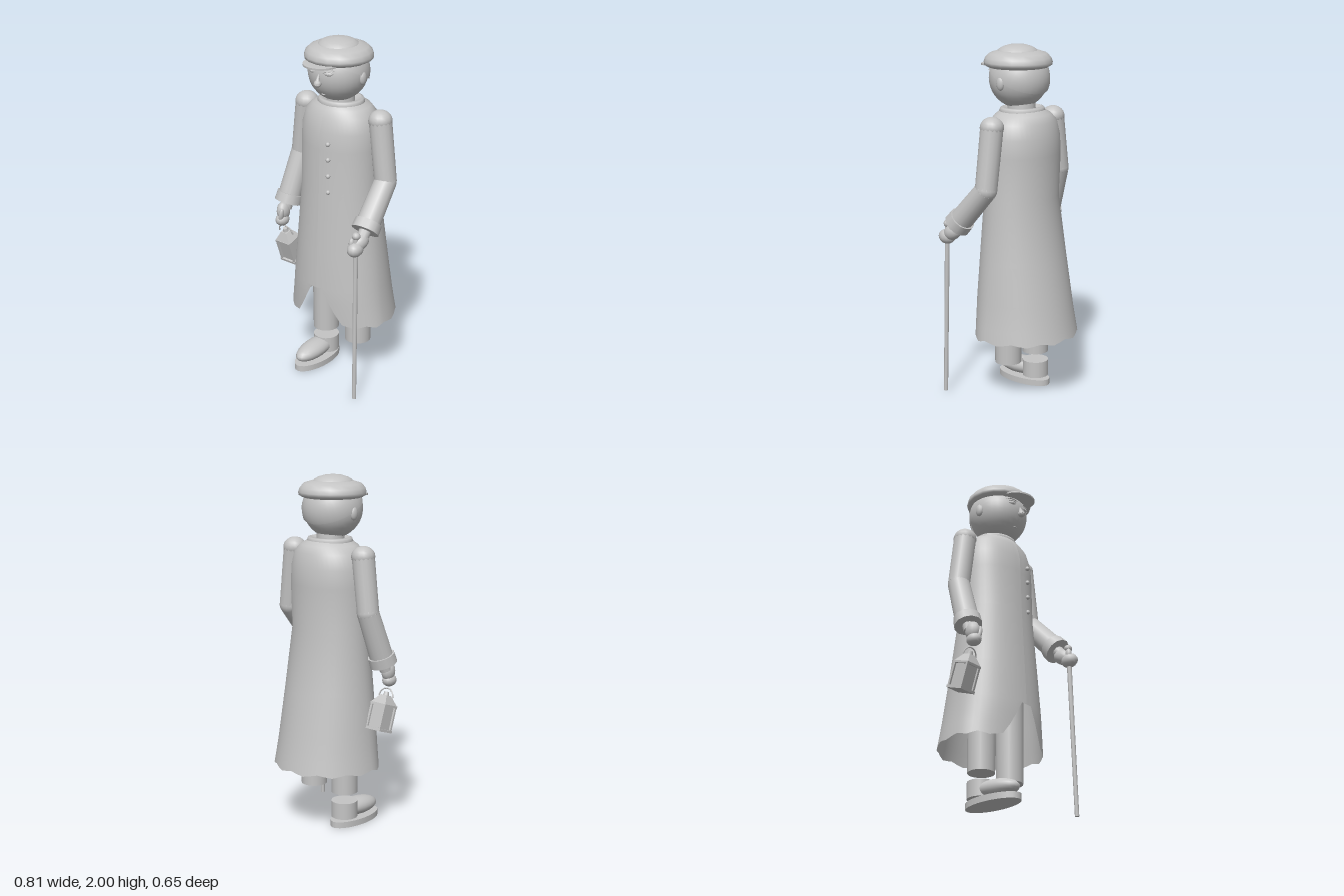
import * as THREE from 'three';

const grey = new THREE.MeshStandardMaterial({ color: 0xc4c4c4, side: THREE.DoubleSide });
const V = (x, y, z) => new THREE.Vector3(x, y, z);

function add(parent, name, geometry, pos = [0, 0, 0], scale = [1, 1, 1], rot = [0, 0, 0]) {
  const mesh = new THREE.Mesh(geometry, grey);
  mesh.name = name;
  mesh.position.set(...pos);
  mesh.scale.set(...scale);
  mesh.rotation.set(...rot);
  parent.add(mesh);
  return mesh;
}

const ball = (w = 16, h = 12) => new THREE.SphereGeometry(1, w, h);
const lathe = (pts, sides = 20) =>
  new THREE.LatheGeometry(pts.map(([r, y]) => new THREE.Vector2(r, y)), sides);

// Tapered round rod from a to b
function rod(parent, name, a, b, ra, rb, sides = 16) {
  const dir = b.clone().sub(a);
  const mesh = add(parent, name, new THREE.CylinderGeometry(rb, ra, dir.length(), sides));
  mesh.position.copy(a).add(b).multiplyScalar(0.5);
  mesh.quaternion.setFromUnitVectors(V(0, 1, 0), dir.normalize());
  return mesh;
}

// Coat cross-sections: height, half width, front z, back z
const coatRows = [
  [1.645, 0.12, 0.105, -0.12], [1.62, 0.17, 0.13, -0.16], [1.58, 0.21, 0.155, -0.185],
  [1.5, 0.232, 0.178, -0.2], [1.4, 0.235, 0.183, -0.207], [1.15, 0.235, 0.19, -0.19],
  [0.8, 0.27, 0.208, -0.245], [0.58, 0.292, 0.218, -0.283], [0.5, 0.3, 0.217, -0.297],
  [0.43, 0.31, 0.214, -0.31], [0.355, 0.32, 0.21, -0.325],
];

function coatRing(y) {
  let i = 0;
  while (i < coatRows.length - 2 && y < coatRows[i + 1][0]) i++;
  const a = coatRows[i], b = coatRows[i + 1];
  const t = (a[0] - y) / (a[0] - b[0]);
  return a.map((v, k) => v + (b[k] - v) * t);
}

// Long coat with an uneven hem and a notch cut in the front
function coatGeometry() {
  const sides = 48, pos = [], index = [];
  coatRows.forEach(([rowY], r) => {
    for (let i = 0; i <= sides; i++) {
      const step = Math.min(i, sides - i);
      const hem = step <= 1 ? 0.575
        : step < 4 ? 0.575 - (step - 1) * 0.072
          : 0.363 + 0.008 * Math.cos(i * Math.PI / 2);
      const y = Math.max(rowY, hem);
      const [, w, front, back] = coatRing(y);
      const a = i / sides * Math.PI * 2, c = Math.cos(a);
      pos.push(w * Math.sin(a), y, c > 0 ? front * c : -back * c);
      if (r && i < sides) {
        const p = r * (sides + 1) + i, q = p - sides - 1;
        index.push(q, p, p + 1, q, p + 1, q + 1);
      }
    }
  });
  const g = new THREE.BufferGeometry();
  g.setAttribute('position', new THREE.Float32BufferAttribute(pos, 3));
  g.setIndex(index);
  g.computeVertexNormals();
  return g;
}

function buildHead() {
  const head = new THREE.Group();
  head.name = 'head';
  add(head, 'face', ball(28, 20), [0, 1.815, 0.02], [0.166, 0.166, 0.166]);
  add(head, 'hair', new THREE.SphereGeometry(0.172, 28, 12, 0, Math.PI * 2, 0, Math.PI / 2),
    [0, 1.812, 0.018], [1, 1, 1], [-0.44, 0, 0]);
  add(head, 'neck', new THREE.CylinderGeometry(0.075, 0.085, 0.14, 16), [0, 1.63, 0]);

  // Face details
  add(head, 'noseBridge', new THREE.ConeGeometry(0.02, 0.07, 10), [0, 1.805, 0.188], [1, 1, 1], [-0.25, 0, 0]);
  add(head, 'noseTip', ball(10, 8), [0, 1.778, 0.194], [0.021, 0.02, 0.021]);
  add(head, 'mouth', ball(10, 6), [0, 1.707, 0.146], [0.014, 0.004, 0.006]);
  for (const s of [-1, 1]) {
    add(head, 'ear', ball(12, 10), [s * 0.163, 1.798, 0.012], [0.017, 0.038, 0.025]);
    add(head, 'eye', ball(12, 8), [s * 0.056, 1.836, 0.172], [0.024, 0.011, 0.008], [0, s * 0.33, 0]);
    add(head, 'pupil', ball(8, 6), [s * 0.055, 1.836, 0.179], [0.008, 0.008, 0.005]);
    add(head, 'eyelid', new THREE.TorusGeometry(0.028, 0.004, 6, 14, Math.PI),
      [s * 0.056, 1.837, 0.172], [1, 0.5, 1], [0, s * 0.33, 0]);
    add(head, 'eyebrow', new THREE.TorusGeometry(0.032, 0.005, 6, 12, Math.PI),
      [s * 0.056, 1.853, 0.17], [1, 0.35, 1], [0, s * 0.33, 0]);
  }

  // Flat cap: puffy band, domed crown and visor
  add(head, 'capBody', lathe([[0, 1.878], [0.165, 1.876], [0.187, 1.888], [0.19, 1.905], [0.182, 1.928],
    [0.16, 1.951], [0.12, 1.964], [0.1, 1.967]], 18), [0.005, 0, 0.02]);
  add(head, 'capCrown', lathe([[0.113, 1.96], [0.106, 1.972], [0.085, 1.985], [0.05, 1.996], [0, 2]], 18),
    [0.005, 0, 0.025]);
  add(head, 'visor', new THREE.CylinderGeometry(1, 1, 0.01, 24), [0.003, 1.884, 0.17], [0.102, 1, 0.09], [0.06, 0, 0]);
  return head;
}

// Sleeve with a shoulder ball, a bent elbow and a turned cuff
function buildArm(name, shoulder, elbow, wrist) {
  const arm = new THREE.Group();
  arm.name = name;
  add(arm, 'shoulder', ball(), shoulder.toArray(), [0.066, 0.058, 0.066]);
  rod(arm, 'upperSleeve', shoulder, elbow, 0.064, 0.062);
  add(arm, 'elbow', ball(), elbow.toArray(), [0.062, 0.062, 0.062]);
  rod(arm, 'lowerSleeve', elbow, wrist, 0.062, 0.067);
  const along = wrist.clone().sub(elbow).normalize();
  const at = (d) => wrist.clone().addScaledVector(along, d);
  rod(arm, 'cuff', at(-0.025), at(0.03), 0.076, 0.079, 12);
  rod(arm, 'wrist', at(0.02), at(0.07), 0.035, 0.033, 10);
  return arm;
}

function buildLantern() {
  const lantern = new THREE.Group();
  lantern.name = 'lantern';
  add(lantern, 'base', new THREE.BoxGeometry(0.11, 0.014, 0.11), [0, -0.19, 0]);
  add(lantern, 'glass', new THREE.BoxGeometry(0.084, 0.14, 0.084), [0, -0.12, 0]);
  add(lantern, 'topPlate', new THREE.BoxGeometry(0.108, 0.012, 0.108), [0, -0.05, 0]);
  for (const x of [-1, 1]) for (const z of [-1, 1])
    add(lantern, 'post', new THREE.BoxGeometry(0.013, 0.14, 0.013), [x * 0.046, -0.12, z * 0.046]);
  const roof = new THREE.CylinderGeometry(0.03, 0.074, 0.05, 4).toNonIndexed();
  roof.computeVertexNormals();
  add(lantern, 'roof', roof, [0, -0.02, 0], [1, 1, 1], [0, Math.PI / 4, 0]);
  add(lantern, 'chimney', new THREE.CylinderGeometry(0.014, 0.018, 0.022, 10), [0, 0.014, 0]);
  add(lantern, 'handle', new THREE.TorusGeometry(0.05, 0.004, 6, 18, Math.PI), [0, -0.005, 0]);
  lantern.position.set(-0.333, 0.785, 0.095);
  lantern.rotation.x = 0.33;
  return lantern;
}

export function createModel() {
  const model = new THREE.Group();
  model.name = 'walkingMan';
  model.add(buildHead());

  // Coat, collar and buttons
  add(model, 'coat', coatGeometry());
  add(model, 'collar', lathe([[0.13, 1.615], [0.136, 1.638], [0.128, 1.656], [0.112, 1.66], [0.1, 1.645], [0.08, 1.635]], 24),
    [0, 0, -0.005], [1, 1, 0.9]);
  for (const y of [1.445, 1.355, 1.26, 1.165])
    add(model, 'button', ball(10, 8), [0.062, y, 0.184], [0.013, 0.013, 0.013]);

  // Arms and hands
  model.add(buildArm('rightArm', V(-0.256, 1.575, -0.015), V(-0.298, 1.27, -0.02), V(-0.325, 1.0, 0.07)));
  model.add(buildArm('leftArm', V(0.263, 1.575, -0.015), V(0.308, 1.235, -0.01), V(0.324, 1.035, 0.17)));
  add(model, 'rightPalm', ball(12, 10), [-0.332, 0.925, 0.115], [0.036, 0.055, 0.045]);
  add(model, 'rightFingers', ball(12, 10), [-0.332, 0.872, 0.125], [0.038, 0.036, 0.045]);
  add(model, 'rightThumb', ball(10, 8), [-0.318, 0.91, 0.15], [0.015, 0.042, 0.018], [0, 0, -0.2]);
  add(model, 'leftPalm', ball(12, 10), [0.325, 0.965, 0.228], [0.042, 0.045, 0.062], [0.5, 0, 0]);
  add(model, 'leftFingers', ball(12, 10), [0.325, 0.932, 0.272], [0.041, 0.042, 0.053]);
  add(model, 'leftThumb', ball(10, 8), [0.308, 0.965, 0.28], [0.016, 0.032, 0.02]);

  // Walking cane and lantern
  rod(model, 'cane', V(0.335, 0.01, 0.289), V(0.325, 1.0, 0.268), 0.012, 0.014, 10);
  add(model, 'caneKnob', ball(12, 8), [0.325, 1.008, 0.265], [0.024, 0.022, 0.024]);
  model.add(buildLantern());

  // Trouser legs
  for (const x of [-0.115, 0.124])
    add(model, 'trouserLeg', new THREE.CylinderGeometry(0.08, 0.075, 0.65, 20), [x, 0.525, -0.006]);

  // Single boot under the right leg
  const boot = new THREE.Group();
  boot.name = 'rightBoot';
  boot.position.x = -0.116;
  add(boot, 'sole', new THREE.CylinderGeometry(1, 1, 0.035, 28), [0, 0.022, 0.078], [0.084, 1, 0.18]);
  add(boot, 'toe', ball(20, 14), [0, 0.09, 0.1], [0.068, 0.052, 0.152], [0.06, 0, 0]);
  add(boot, 'ankle', new THREE.CylinderGeometry(0.075, 0.075, 0.095, 20), [0, 0.1, -0.008]);
  model.add(boot);
  return model;
}
